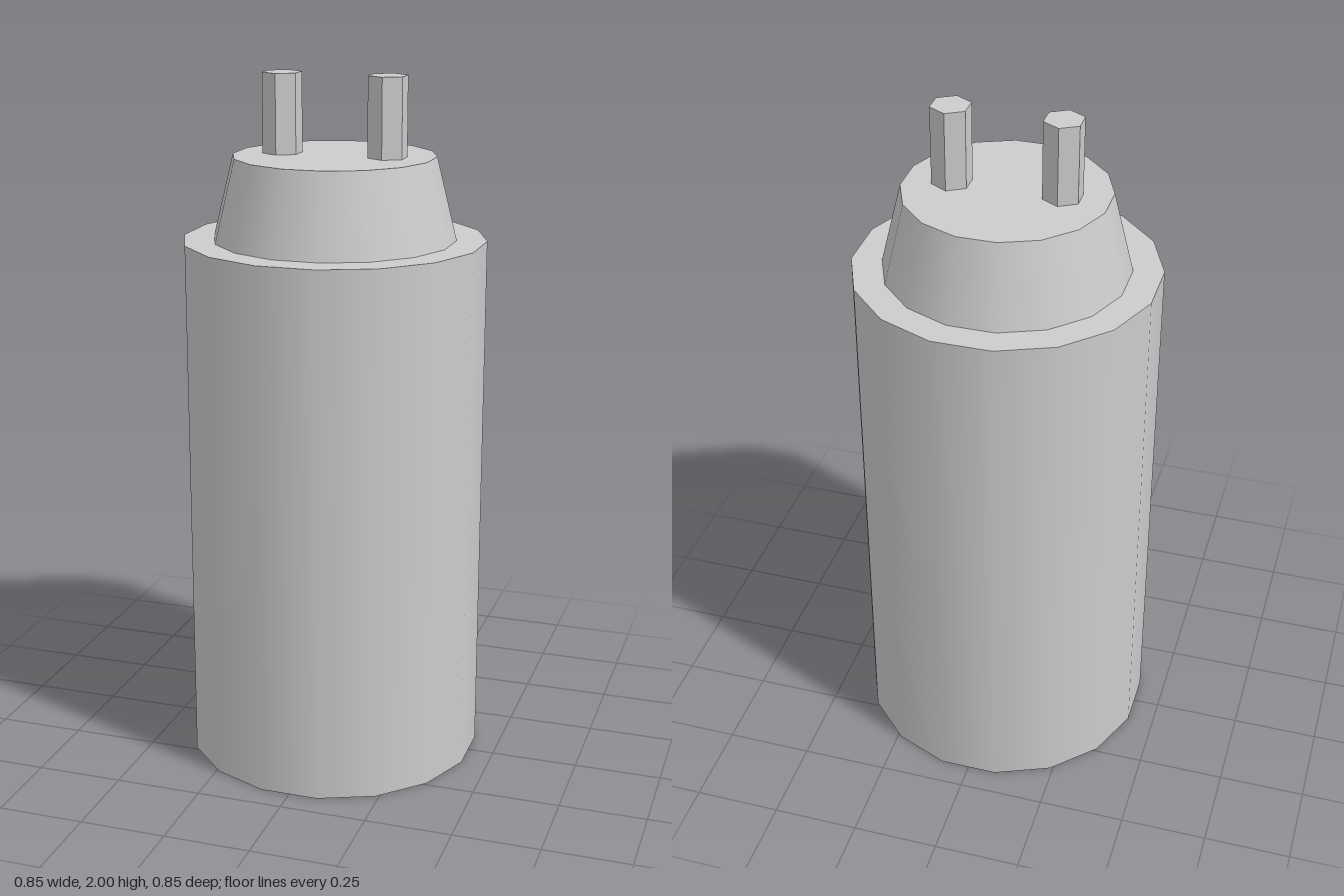
import * as THREE from 'three';

const SIDES = 16;

export function createModel() {
  const group = new THREE.Group();
  const metal = new THREE.MeshStandardMaterial({ color: 0xcccccc, side: THREE.DoubleSide });
  metal.name = 'light grey';
  const pinMetal = metal.clone();
  pinMetal.flatShading = true;
  pinMetal.name = 'light grey faceted';

  // One band of the turned shell; separate bands keep the rims sharp
  const band = (name, r0, y0, r1, y1) => {
    const profile = [new THREE.Vector2(r0, y0), new THREE.Vector2(r1, y1)];
    const mesh = new THREE.Mesh(new THREE.LatheGeometry(profile, SIDES, Math.PI / SIDES), metal);
    mesh.name = name;
    group.add(mesh);
  };

  // Hollow can, open underneath, with a tapered neck
  band('bodyWall', 0.432, 0, 0.432, 1.54);
  band('shoulder', 0.432, 1.54, 0.346, 1.54);
  band('neck', 0.346, 1.54, 0.288, 1.775);
  band('neckTop', 0.288, 1.775, 0, 1.775);

  // Two hexagonal terminal pins
  const pinGeometry = new THREE.CylinderGeometry(0.057, 0.057, 0.225, 6);
  for (const side of [1, -1]) {
    const pin = new THREE.Mesh(pinGeometry, pinMetal);
    pin.name = side > 0 ? 'leftPin' : 'rightPin';
    pin.position.set(side * 0.154, 1.8875, 0);
    group.add(pin);
  }
  return group;
}
